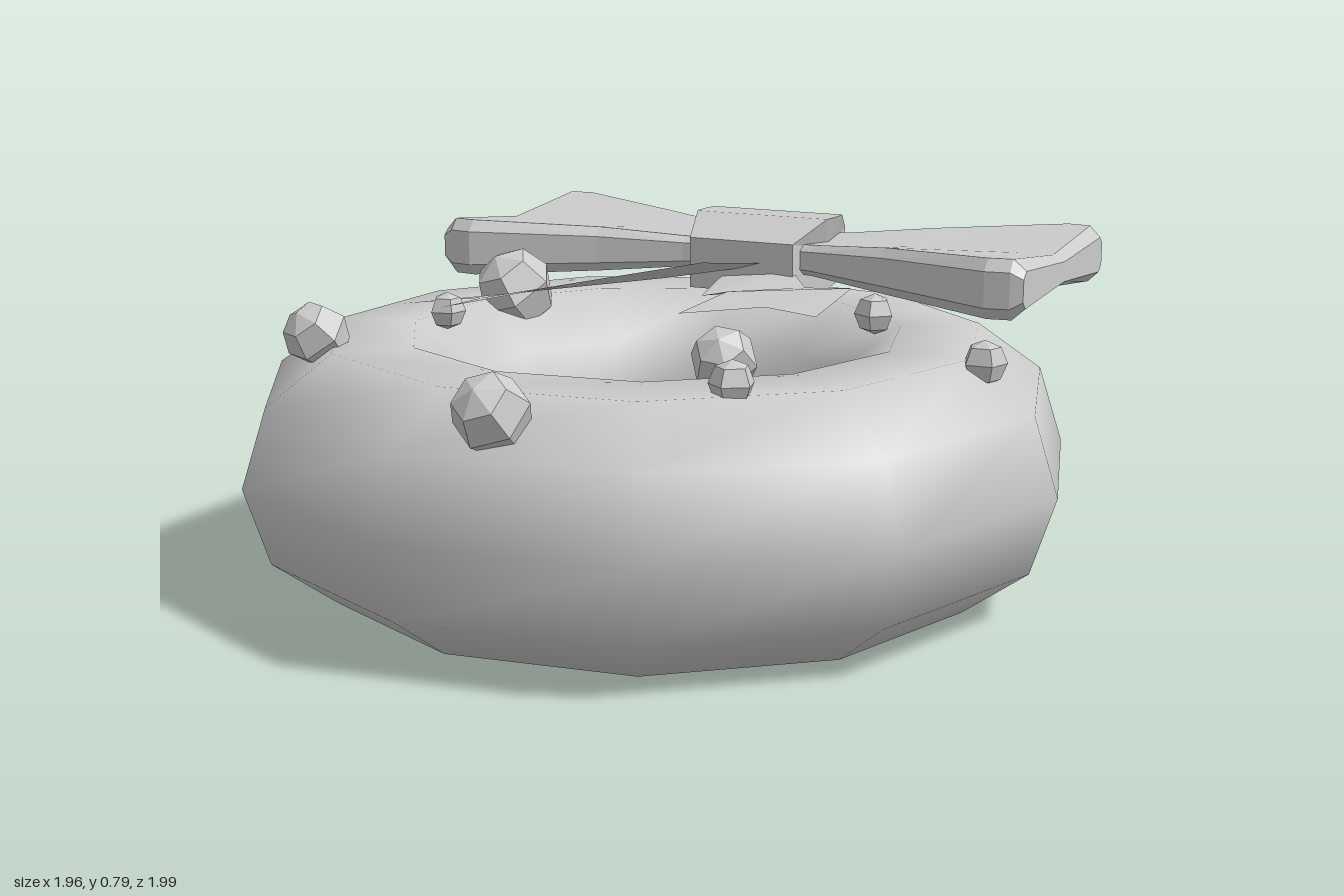
import * as THREE from 'three';

const smooth = new THREE.MeshStandardMaterial({ color: 0xcccccc });
const faceted = new THREE.MeshStandardMaterial({ color: 0xcccccc, flatShading: true, side: THREE.DoubleSide });

function buildMesh(name, points, faces) {
  const geo = new THREE.BufferGeometry();
  geo.setAttribute('position', new THREE.Float32BufferAttribute(points.flat(), 3));
  geo.setIndex(faces.flat());
  geo.computeVertexNormals();
  const mesh = new THREE.Mesh(geo, faceted);
  mesh.name = name;
  return mesh;
}

// Closed solid through rings of points (running top, +z, bottom, -z), capped at both ends
function loft(name, rings, flip = false) {
  const n = rings[0].length, points = rings.flat(), faces = [];
  for (let i = 0; i < rings.length - 1; i++) {
    for (let j = 0; j < n; j++) {
      const a = i * n + j, b = i * n + (j + 1) % n;
      faces.push([a, b, a + n], [b, b + n, a + n]);
    }
  }
  [0, rings.length - 1].forEach((r, end) => {
    const mid = [0, 1, 2].map(k => rings[r].reduce((s, p) => s + p[k], 0) / n);
    const c = points.push(mid) - 1;
    for (let j = 0; j < n; j++) {
      const a = r * n + j, b = r * n + (j + 1) % n;
      faces.push(end ? [c, a, b] : [c, b, a]);
    }
  });
  return buildMesh(name, points, flip ? faces.map(([a, b, c]) => [a, c, b]) : faces);
}

// Flat ribbon: pairs of edge points (left, right), ending in a swallowtail notch
function ribbon(name, pairs, notch) {
  const points = pairs.flat(), faces = [];
  for (let i = 0; i < pairs.length - 2; i++) {
    const a = i * 2;
    faces.push([a, a + 2, a + 1], [a + 1, a + 2, a + 3]);
  }
  const a = (pairs.length - 2) * 2, c = points.push(notch) - 1;
  faces.push([a, a + 2, c], [a, c, a + 1], [a + 1, c, a + 3]);
  return buildMesh(name, points, faces);
}

export function createModel() {
  const model = new THREE.Group();
  model.name = 'wreathWithBow';

  // Ring
  const ring = new THREE.Mesh(new THREE.TorusGeometry(0.69, 0.31, 10, 11), smooth);
  ring.name = 'wreathRing';
  ring.rotation.x = Math.PI / 2;
  ring.position.set(-0.02, 0.295, 0);
  model.add(ring);

  // Berries: x, y, z, radius, sides, tilt
  const berries = new THREE.Group();
  berries.name = 'berries';
  [
    [-0.55, 0.61, -0.24, 0.105, 6, 0.5], [-0.635, 0.61, 0.51, 0.078, 6, 0.5],
    [0.04, 0.565, 0.845, 0.088, 6, 0.5], [0.335, 0.615, 0.365, 0.077, 6, 0.5],
    [0.445, 0.61, 0.555, 0.052, 5, 0], [0.8, 0.585, 0, 0.052, 5, 0],
    [0.41, 0.61, -0.325, 0.05, 5, 0], [-0.535, 0.61, 0.11, 0.046, 5, 0],
  ].forEach(([x, y, z, r, sides, tilt], i) => {
    const berry = new THREE.Mesh(new THREE.SphereGeometry(r, sides, 4), faceted);
    berry.name = 'berry' + (i + 1);
    berry.position.set(x, y, z);
    berry.rotation.set(tilt, i * 0.7, tilt * 0.6);
    berries.add(berry);
  });
  model.add(berries);

  // Bow loops: chamfered section, pinched along the middle and flaring outwards
  const bow = new THREE.Group();
  bow.name = 'bow';
  bow.position.set(-0.02, 0.693, -0.652);
  const section = (x, hz, hy, pinch, rim) => [
    [x, pinch, 0], [x, hy, hz - rim], [x, hy * 0.6, hz], [x, -hy * 0.6, hz], [x, -hy, hz - rim],
    [x, -pinch, 0], [x, -hy, rim - hz], [x, -hy * 0.6, -hz], [x, hy * 0.6, -hz], [x, hy, rim - hz],
  ];
  for (const s of [1, -1]) {
    const stations = [
      [0.06, 0.12, 0.035, 0.03, 0.02], [0.18, 0.145, 0.04, 0.032, 0.02],
      [0.4, 0.215, 0.058, 0.036, 0.022], [0.71, 0.347, 0.073, 0.04, 0.025],
      [0.77, 0.338, 0.073, 0.04, 0.025], [0.8, 0.325, 0.045, 0.025, 0.02],
    ];
    const rings = stations.map(([x, ...rest]) => section(s * x, ...rest));
    bow.add(loft(s > 0 ? 'leftLoop' : 'rightLoop', rings, s < 0));
  }

  // Knot: a band that is widest over its crown
  const knotProfile = [
    [0.097, 0, 0.19], [0.097, 0.05, 0.185], [0.045, 0.176, 0.145], [-0.085, 0.176, 0.145],
    [-0.1, 0, 0.16], [-0.085, -0.17, 0.145], [0.045, -0.17, 0.145], [0.097, -0.05, 0.185],
  ];
  bow.add(loft('knot', [-1, 1].map(s => knotProfile.map(([y, z, w]) => [s * w, y, z]))));
  model.add(bow);

  // Ribbon tails
  model.add(ribbon('rightTail', [
    [[-0.14, 0.66, -0.52], [0.06, 0.68, -0.52]],
    [[-0.2, 0.64, -0.4], [-0.06, 0.7, -0.33]],
    [[-0.42, 0.63, -0.14], [-0.25, 0.68, -0.03]],
    [[-0.66, 0.62, 0.13], [-0.45, 0.65, 0.27]],
  ], [-0.465, 0.64, 0.065]));
  model.add(ribbon('leftTail', [
    [[-0.08, 0.65, -0.52], [0.1, 0.67, -0.52]],
    [[-0.05, 0.62, -0.31], [0.18, 0.64, -0.43]],
    [[0.155, 0.69, -0.03], [0.42, 0.7, -0.15]],
    [[0.18, 0.69, 0.28], [0.47, 0.69, 0.18]],
  ], [0.32, 0.69, 0.12]));

  return model;
}
